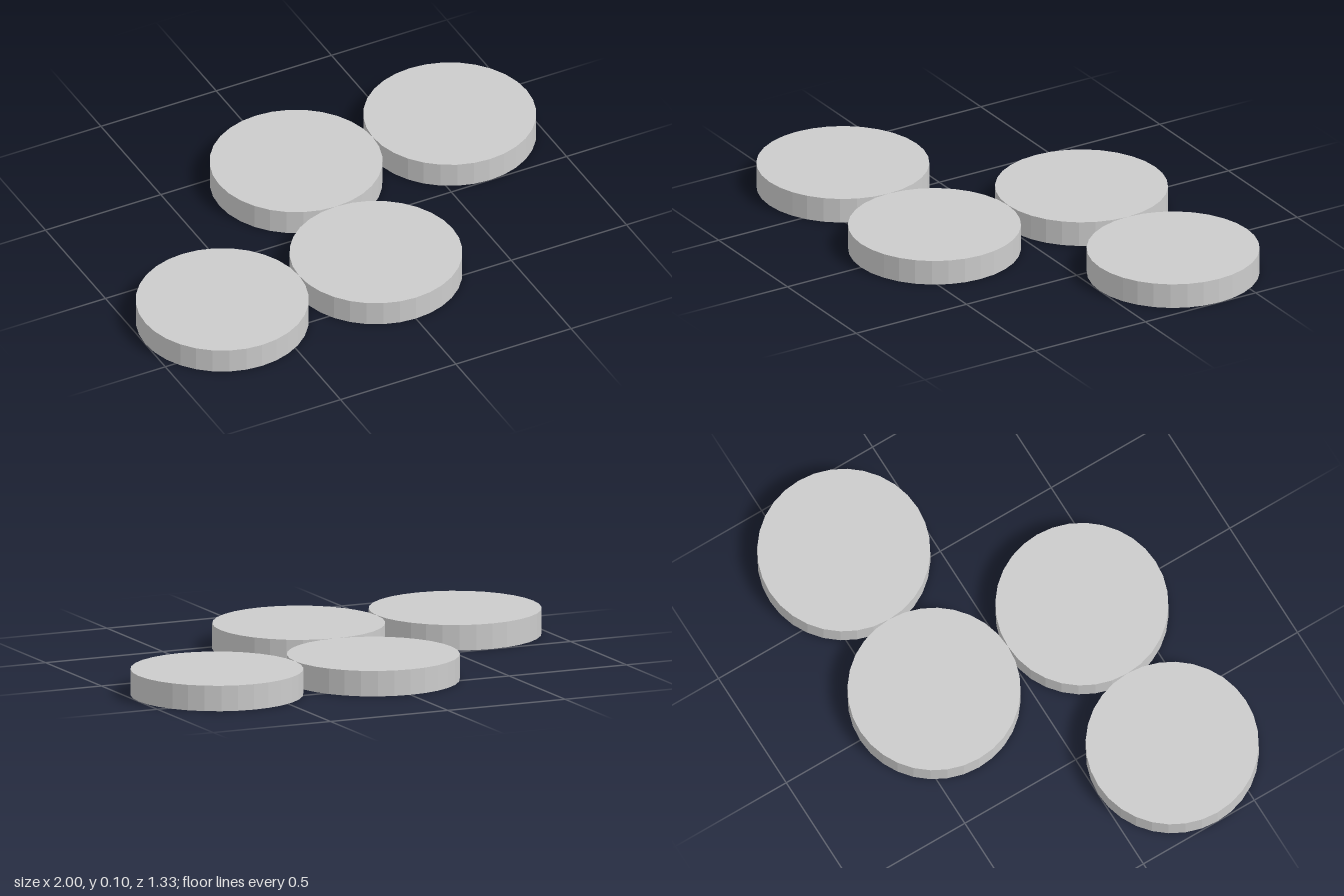
import * as THREE from 'three';

export function createModel() {
  const model = new THREE.Group();
  const material = new THREE.MeshStandardMaterial({ color: 0xcccccc, flatShading: true });
  const radius = 1 / 3;
  const height = 0.1;
  const geometry = new THREE.CylinderGeometry(radius, radius, height, 32);

  // Four touching discs in two staggered rows, each [name, x, z] in radii
  const discs = [
    ['frontRightDisc', -2, 1],
    ['frontMiddleDisc', 0, 1],
    ['backMiddleDisc', 0, -1],
    ['backLeftDisc', 2, -1],
  ];
  for (const [name, x, z] of discs) {
    const disc = new THREE.Mesh(geometry, material);
    disc.name = name;
    disc.position.set(x * radius, height / 2, z * radius);
    model.add(disc);
  }
  return model;
}
